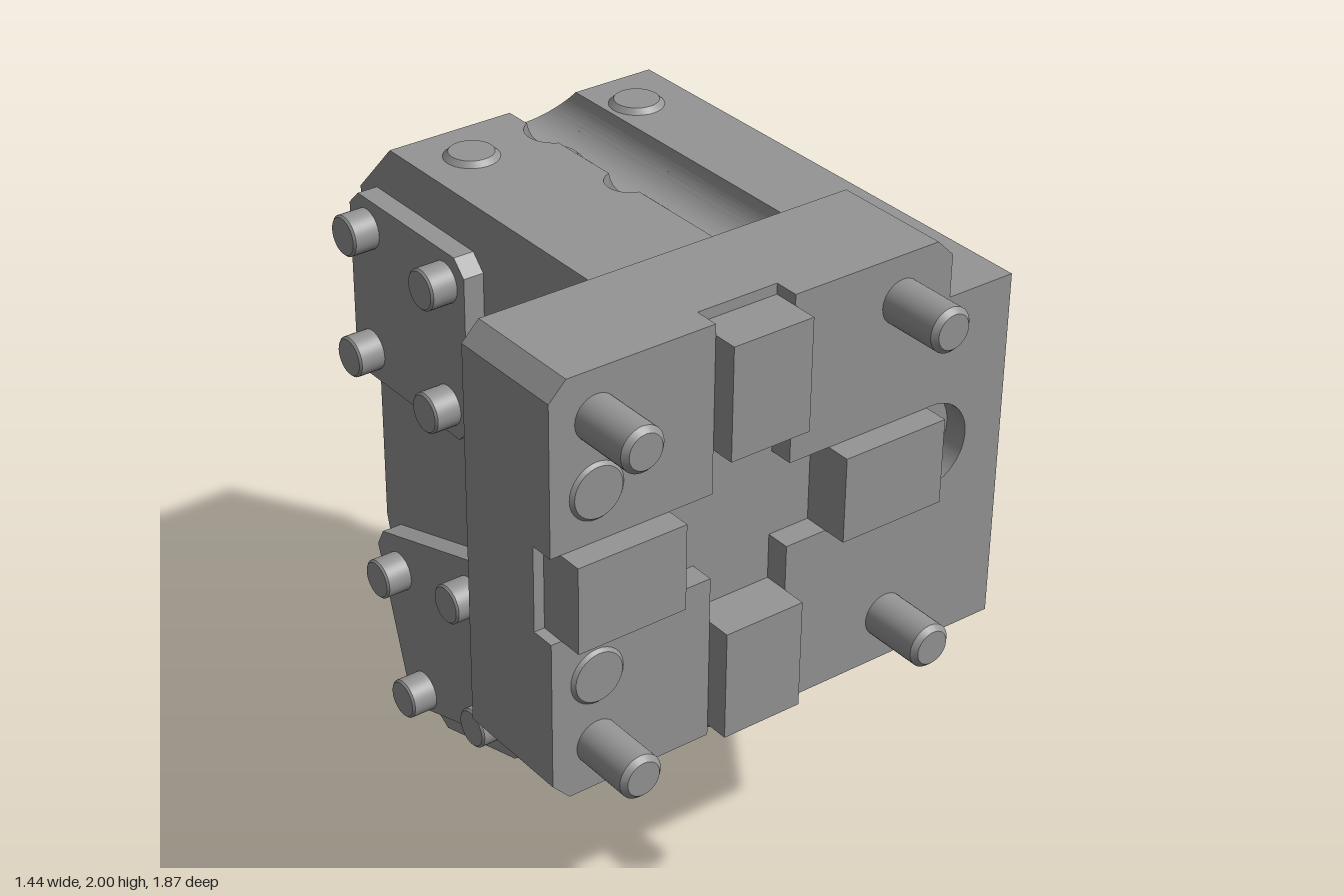
import * as THREE from 'three';
import { toCreasedNormals } from 'three/addons/utils/BufferGeometryUtils.js';

const material = new THREE.MeshStandardMaterial({ color: 0x959595 });

export function createModel() {
  const model = new THREE.Group();

  const add = (name, geometry) => {
    const mesh = new THREE.Mesh(toCreasedNormals(geometry, 0.23), material);
    mesh.name = name;
    model.add(mesh);
    return mesh;
  };
  const shapeOf = (pts) => new THREE.Shape(pts.map(([x, y]) => new THREE.Vector2(x, y)));
  const extrude = (shape, depth) =>
    new THREE.ExtrudeGeometry(shape, { depth, bevelEnabled: false, curveSegments: 32 });

  // Side profile given as [z, y], swept from x0 to x1, with round bores
  const sweepX = (name, pts, x0, x1, bores = []) => {
    const shape = shapeOf(pts.map(([z, y]) => [-z, y]));
    for (const [z, y, r] of bores) {
      shape.holes.push(new THREE.Path().absarc(-z, y, r, 0, Math.PI * 2, false));
    }
    return add(name, extrude(shape, x1 - x0).rotateY(Math.PI / 2).translate(x0, 0, 0));
  };
  // Front outline given as a shape in x and y, swept from z0 to z1
  const sweepZ = (name, shape, z0, z1) => add(name, extrude(shape, z1 - z0).translate(0, 0, z0));

  // Round peg with a chamfered tip, pointing along dir
  const peg = (name, r, length, chamfer, pos, dir) => {
    const profile = [[0, 0], [r, 0], [r, length - chamfer], [r - chamfer, length], [0, length]];
    const mesh = add(name, new THREE.LatheGeometry(profile.map(([x, y]) => new THREE.Vector2(x, y)), 32));
    mesh.position.set(...pos);
    mesh.quaternion.setFromUnitVectors(new THREE.Vector3(0, 1, 0), new THREE.Vector3(...dir).normalize());
  };

  // Main body: one part at full height, the rest lowered to carry the grooved top
  const chamferZ = (y) => -0.77 - (1.83 - y) * 0.94;
  const bores = [[0.14, 1.405, 0.153], [-0.605, 1.405, 0.153], [-0.475, 0.395, 0.153]];
  const bodyProfile = (top) => [
    [0.675, top], [chamferZ(top), top], [-0.93, 1.66], [-0.93, 1.15], [-0.87, 1.09],
    [-0.87, 0.61], [-0.73, 0.09], [-0.58, 0], [-0.23, 0.1], [0.675, 0.76],
  ];
  const floor = 1.72;
  sweepX('bodyRight', bodyProfile(floor), -0.17, 0.45, bores);
  sweepX('bodyLeft', bodyProfile(1.83), 0.45, 0.707, bores);
  sweepX('bodyFrontWedge', [[0.675, 0.81], [0.675, 0.76], [0.745, 0.81]], 0, 0.707);

  // Top slab beside the groove, with two round pockets bitten out of its edge
  const slab = shapeOf([[-0.17, -0.8], [0.225, -0.8]]);
  for (const [x, z, r] of [[0.265, -0.612, 0.085], [0.245, -0.24, 0.07]]) {
    const a = Math.acos((x - 0.225) / r);
    slab.absarc(x, z, r, Math.PI + a, Math.PI - a, true);
  }
  slab.lineTo(0.225, 0.5).lineTo(-0.17, 0.5);
  const slabGeometry = extrude(slab, 1.83 - floor).rotateX(Math.PI / 2).translate(0, 1.83, 0);
  const sp = slabGeometry.attributes.position;
  for (let i = 0; i < sp.count; i++) if (sp.getZ(i) < -0.78) sp.setZ(i, chamferZ(sp.getY(i)));
  add('topSlab', slabGeometry);

  // Round-bottomed groove in lengths; only its left half runs past the pockets
  const grooveX = 0.3375, grooveY = 1.85, grooveR = 0.1143;
  const grooveLength = (x0, endAngle, backZ, z1) => {
    const section = shapeOf([[x0, floor], [0.45, floor], [0.45, 1.83]]);
    section.absarc(grooveX, grooveY, grooveR, -0.176, endAngle, true);
    const geometry = extrude(section, 1);
    const p = geometry.attributes.position;
    for (let i = 0; i < p.count; i++) p.setZ(i, p.getZ(i) > 0.5 ? z1 : backZ(p.getY(i)));
    add('topGroove', geometry);
  };
  const fullEnd = -Math.PI + 0.176;
  grooveLength(0.225, fullEnd, chamferZ, -0.687);
  grooveLength(grooveX, -Math.PI / 2, () => -0.687, -0.537);
  grooveLength(0.225, fullEnd, () => -0.537, -0.307);
  grooveLength(grooveX, -Math.PI / 2, () => -0.307, -0.173);
  grooveLength(0.225, fullEnd, () => -0.173, 0.5);

  // Front flange: back skin with a shallow round recess, solid core, raised pads
  const flangeOutline = () => shapeOf([
    [-0.72, 0.86], [-0.67, 0.808], [0.5, 0.808], [0.5, 1.95], [0.45, 2], [-0.67, 2], [-0.72, 1.95],
  ]);
  const skin = flangeOutline();
  skin.holes.push(new THREE.Path().absarc(grooveX, grooveY, grooveR, 0, Math.PI * 2, true));
  sweepZ('flangeBack', skin, 0.395, 0.41);
  sweepZ('flange', flangeOutline(), 0.41, 0.675);
  sweepZ('flangePadUpper', shapeOf([
    [-0.72, 1.53], [-0.24, 1.53], [-0.24, 2], [-0.67, 2], [-0.72, 1.95],
  ]), 0.675, 0.745);
  sweepZ('flangePadLower', shapeOf([
    [-0.72, 0.86], [-0.67, 0.808], [-0.24, 0.808], [-0.24, 1.285], [-0.72, 1.285],
  ]), 0.675, 0.745);
  const pad = shapeOf([
    [0, 1.285], [0, 0.808], [0.707, 0.808], [0.707, 1.83], [0.5, 1.83], [0.5, 1.95],
    [0.45, 2], [0, 2], [0, 1.53], [0.4625, 1.53],
  ]);
  pad.absarc(0.4625, 1.4075, 0.1225, Math.PI / 2, -Math.PI / 2, true);
  sweepZ('flangePadLeft', pad, 0.675, 0.745);

  // Keys seated in the keyway
  for (const [x0, x1, y0, y1] of [
    [-0.24, 0, 1.655, 1.97], [-0.24, 0, 0.84, 1.155],
    [-0.69, -0.37, 1.285, 1.53], [0.125, 0.445, 1.285, 1.53],
  ]) {
    add('key', new THREE.BoxGeometry(x1 - x0, y1 - y0, 0.14)
      .translate((x0 + x1) / 2, (y0 + y1) / 2, 0.745));
  }

  // Front screws and flush plugs
  for (const x of [-0.585, 0.34]) {
    for (const y of [0.942, 1.87]) peg('frontScrew', 0.062, 0.2, 0.014, [x, y, 0.735], [0, 0, 1]);
  }
  for (const y of [1.14, 1.67]) peg('frontPlug', 0.08, 0.02, 0.01, [-0.585, y, 0.734], [0, 0, 1]);

  // Plugs on the top, in the pockets and on the sloping underside
  for (const x of [-0.01, 0.545]) peg('topPlug', 0.08, 0.04, 0.016, [x, 1.805, -0.612], [0, 1, 0]);
  peg('pocketPlug', 0.08, 0.04, 0.016, [0.265, 1.71, -0.612], [0, 1, 0]);
  peg('pocketPlug', 0.066, 0.04, 0.012, [0.245, 1.71, -0.24], [0, 1, 0]);
  for (const x of [-0.01, 0.265, 0.545]) {
    peg('bottomPlug', 0.075, 0.04, 0.016, [x, 0.075, -0.393], [0, -0.96, 0.275]);
  }

  // Small plugs on both sides
  for (const [z, y] of [[-0.235, 1.405], [-0.11, 0.49]]) {
    peg('sidePlug', 0.06, 0.03, 0.012, [0.686, y, z], [1, 0, 0]);
    peg('sidePlug', 0.06, 0.03, 0.012, [-0.149, y, z], [-1, 0, 0]);
  }

  // Screwed cover plates closing two bores; the lower one is turned
  const h = 0.28, c = 0.235, s = 0.19;
  const octagon = [[h, -c], [h, c], [c, h], [-c, h], [-h, c], [-h, -c], [-c, -h], [c, -h]];
  for (const [plate, screws, angle] of [
    [[-0.61, 1.41], [-0.613, 1.408], 0], [[-0.49, 0.412], [-0.475, 0.392], 0.3],
  ]) {
    const cos = Math.cos(angle), sin = Math.sin(angle);
    const place = ([z, y], [u, v]) => [z + u * cos - v * sin, y + u * sin + v * cos];
    sweepX('coverPlate', octagon.map((corner) => place(plate, corner)), -0.232, -0.17);
    for (const corner of [[s, s], [-s, s], [-s, -s], [s, -s]]) {
      const [z, y] = place(screws, corner);
      peg('coverScrew', 0.06, 0.09, 0.006, [-0.222, y, z], [-1, 0, 0]);
    }
  }

  return model;
}
